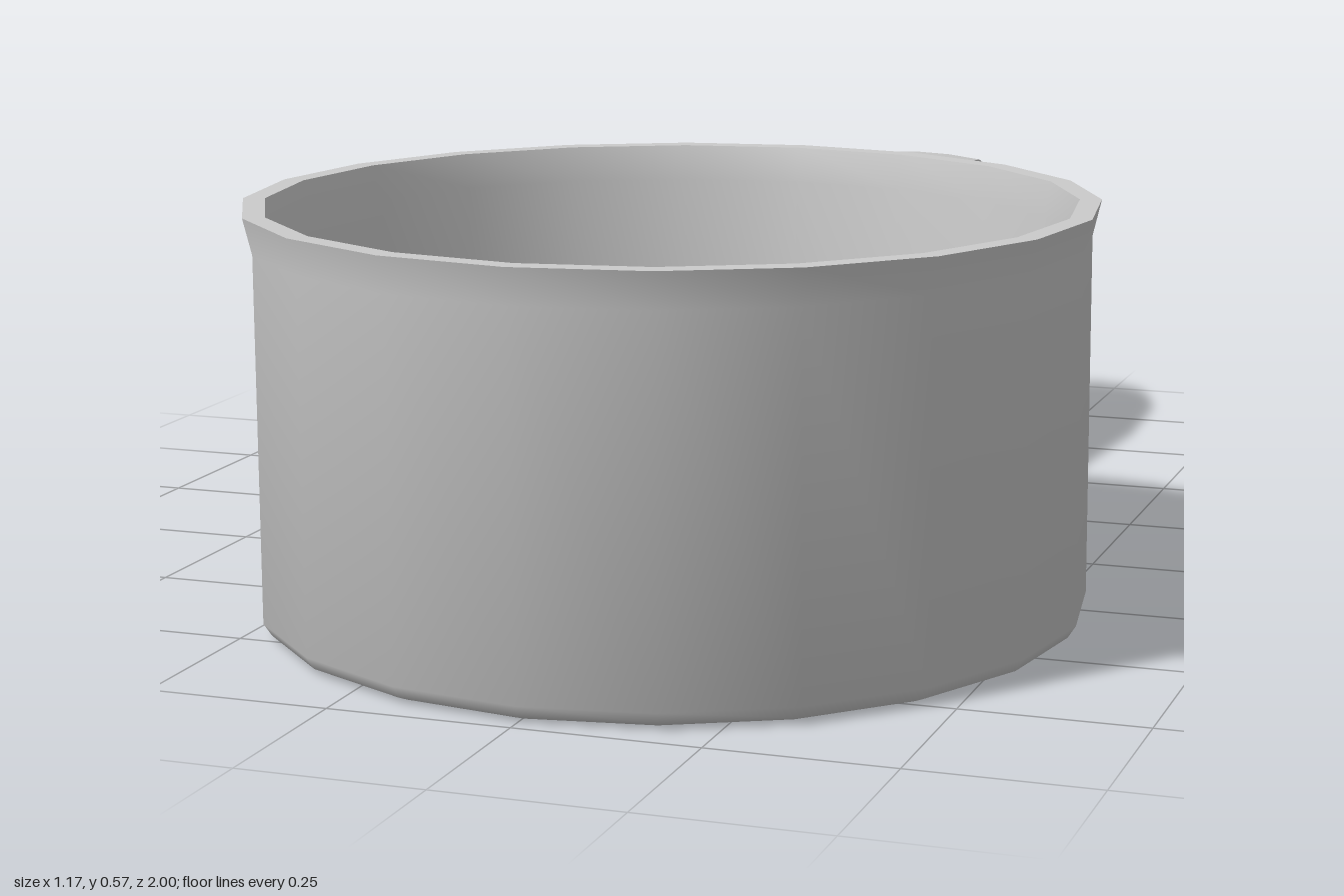
import * as THREE from 'three';
import { toCreasedNormals } from 'three/addons/utils/BufferGeometryUtils.js';

const material = new THREE.MeshStandardMaterial({ color: 0xcccccc });

// Closed solid from equal-length rings of points, capped at both ends.
function loft(rings) {
  const n = rings[0].length;
  const index = [];
  for (let i = 0; i < rings.length - 1; i++) {
    for (let j = 0; j < n; j++) {
      const k = (j + 1) % n;
      const a = i * n + j, b = i * n + k, c = a + n, d = b + n;
      index.push(a, b, c, b, d, c);
    }
  }
  const last = (rings.length - 1) * n;
  for (let j = 1; j < n - 1; j++) {
    index.push(0, j + 1, j, last, last + j, last + j + 1);
  }
  const geometry = new THREE.BufferGeometry();
  geometry.setAttribute('position', new THREE.Float32BufferAttribute(rings.flat(2), 3));
  geometry.setIndex(index);
  return geometry;
}

export function createModel() {
  const group = new THREE.Group();

  // Pot: 20-sided hollow body with bevelled base and flared rim
  const profile = [
    [0, 0], [0.545, 0], [0.562, 0.007], [0.573, 0.024], [0.573, 0.525], [0.585, 0.575],
    [0.555, 0.575], [0.545, 0.525], [0.545, 0.024], [0, 0.02],
  ].map(([r, y]) => new THREE.Vector2(r, y));
  const pot = new THREE.Mesh(toCreasedNormals(new THREE.LatheGeometry(profile, 20), 0.9), material);
  pot.name = 'pot';
  pot.position.z = 0.415;
  group.add(pot);

  // Handle stations: z, half width, crown height, underside height
  const stations = [
    [-0.135, 0.098, 0.535, 0.46],
    [-0.16, 0.09, 0.526, 0.475],
    [-0.19, 0.085, 0.519, 0.487],
    [-0.33, 0.085, 0.516, 0.489],
    [-0.55, 0.108, 0.505, 0.484],
    [-0.8, 0.108, 0.485, 0.463],
    [-0.91, 0.085, 0.463, 0.445],
    [-0.96, 0.065, 0.451, 0.437],
    [-0.99, 0.04, 0.444, 0.431],
    [-1.0, 0.015, 0.441, 0.43],
  ];
  const across = [-1, -0.5, 0, 0.5, 1];
  const rings = stations.map(([z, w, top, bottom]) => {
    const drop = (top - bottom) * 0.4;
    const upper = across.map((u) => [u * w, top - drop * u * u, z]);
    const lower = [1, 0, -1].map((u) => [u * w, bottom, z]);
    return [...upper, ...lower];
  });
  const handle = new THREE.Mesh(toCreasedNormals(loft(rings), 0.7), material);
  handle.name = 'handle';
  group.add(handle);

  return group;
}
